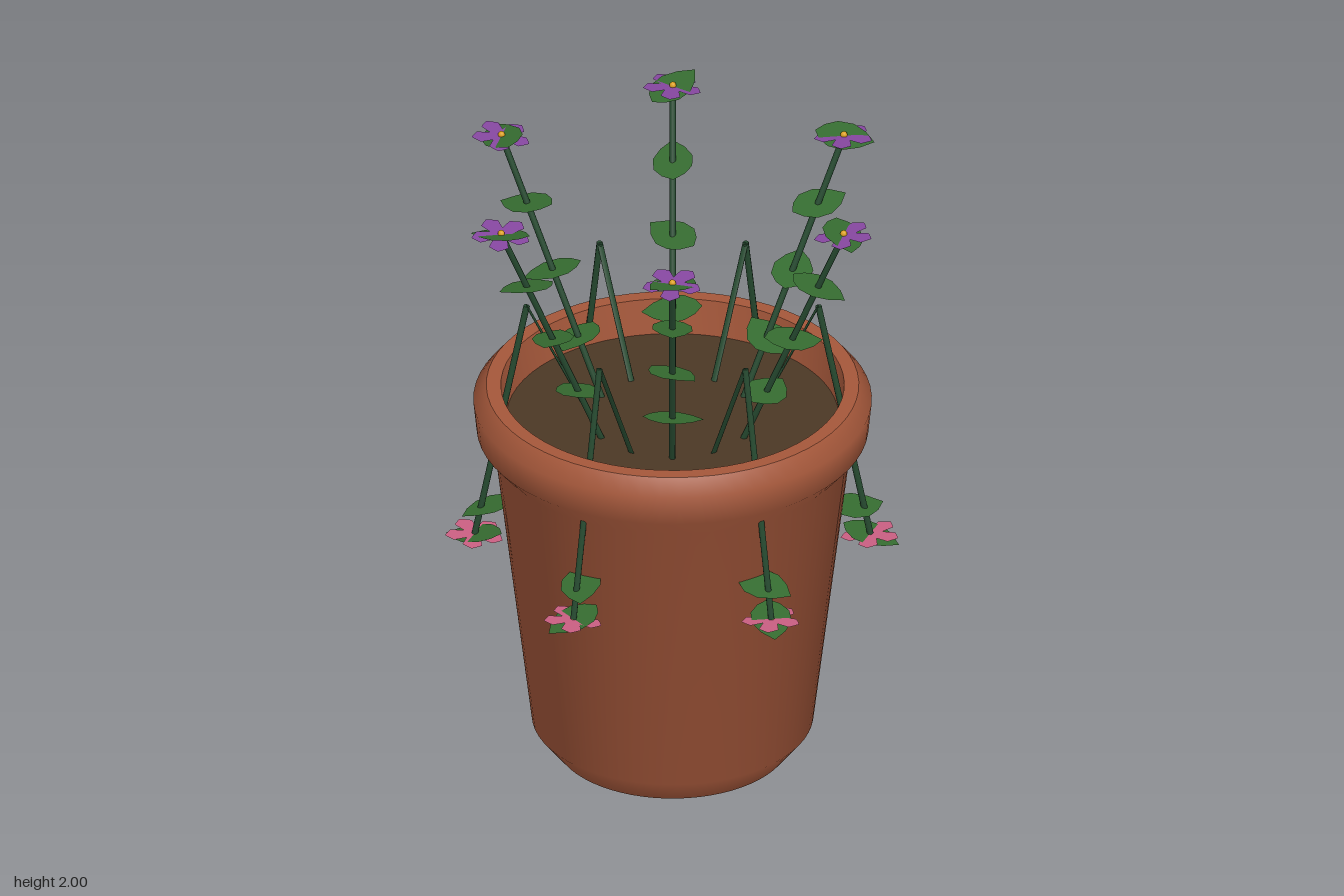
import * as THREE from 'three';
import { toCreasedNormals } from 'three/addons/utils/BufferGeometryUtils.js';

function material(name, color, side = THREE.FrontSide) {
  const m = new THREE.MeshStandardMaterial({ color, side });
  m.name = name;
  return m;
}

// Flat outline laid into the horizontal plane
function flat(points) {
  const shape = new THREE.Shape(points.map(([x, y]) => new THREE.Vector2(x, y)));
  return new THREE.ShapeGeometry(shape).rotateX(-Math.PI / 2);
}

export function createModel() {
  const root = new THREE.Group();
  root.name = 'flowerPot';
  const terracotta = material('terracotta', 0xa4573a);
  const soilBrown = material('soil brown', 0x4b3825);
  const stemGreen = material('stem green', 0x264a30);
  const leafGreen = material('leaf green', 0x356b30, THREE.DoubleSide);
  const purple = material('purple', 0x8647a0, THREE.DoubleSide);
  const pink = material('pink', 0xc95f82, THREE.DoubleSide);
  const yellow = material('yellow', 0xdca01e);

  function add(parent, name, geometry, mat) {
    const mesh = new THREE.Mesh(geometry, mat);
    mesh.name = name;
    parent.add(mesh);
    return mesh;
  }

  // Pot with chamfered foot and thick rim
  const profile = [[0, 0], [0.365, 0], [0.435, 0.09], [0.55, 1.05], [0.605, 1.115],
    [0.615, 1.215], [0.575, 1.265], [0.53, 1.265], [0.51, 1.13]]
    .map(([x, y]) => new THREE.Vector2(x, y));
  add(root, 'pot', toCreasedNormals(new THREE.LatheGeometry(profile, 64), 0.85), terracotta);

  const soil = add(root, 'soil', new THREE.CircleGeometry(0.515, 64).rotateX(-Math.PI / 2), soilBrown);
  soil.position.y = 1.15;

  // Shared leaf and five-petal outlines
  const half = [[-0.07, 0.035], [-0.035, 0.06], [0.015, 0.062], [0.06, 0.038]];
  const leafGeo = flat([[-0.092, 0], ...half, [0.098, 0],
    ...half.map(([x, y]) => [x, -y]).reverse()]);
  const petals = [];
  for (let i = 0; i < 5; i++) {
    for (const [r, a] of [[0.038, -0.63], [0.078, -0.4], [0.086, -0.16], [0.094, 0], [0.086, 0.16], [0.078, 0.4]]) {
      const t = Math.PI / 2 + i * Math.PI * 0.4 + a;
      petals.push([r * Math.cos(t), r * Math.sin(t)]);
    }
  }
  const flowerGeo = flat(petals);
  const centreGeo = new THREE.SphereGeometry(0.011, 10, 8);
  const UP = new THREE.Vector3(0, 1, 0);

  // Turn a flat part about y, then lean its top toward azimuth (measured x to z)
  function place(mesh, position, yaw, azimuth, lean) {
    const axis = new THREE.Vector3(Math.sin(azimuth), 0, -Math.cos(azimuth));
    mesh.position.copy(position);
    mesh.quaternion.setFromAxisAngle(axis, lean)
      .multiply(new THREE.Quaternion().setFromAxisAngle(UP, yaw));
  }

  // Straight stem between two points; flatness squashes it in the radial direction
  function stem(parent, a, b, angle, flatness = 1) {
    const dir = b.clone().sub(a);
    const geo = new THREE.CylinderGeometry(0.01, 0.01, dir.length(), 8);
    const mesh = add(parent, 'stem', geo, stemGreen);
    mesh.scale.x = flatness;
    mesh.position.copy(a).add(b).multiplyScalar(0.5);
    const y = dir.normalize();
    const z = new THREE.Vector3(-Math.sin(angle), 0, Math.cos(angle));
    const x = new THREE.Vector3().crossVectors(y, z);
    mesh.quaternion.setFromRotationMatrix(new THREE.Matrix4().makeBasis(x, y, z));
  }

  function flower(parent, position, mat, azimuth, lean, centreOffset) {
    place(add(parent, 'flower', flowerGeo, mat), position, 0, azimuth, lean);
    const centre = add(parent, 'flowerCentre', centreGeo, yellow);
    centre.position.copy(position);
    centre.position.y += centreOffset;
  }

  const polar = (r, y, angle) => new THREE.Vector3(r * Math.cos(angle), y, r * Math.sin(angle));

  // Upright purple flowers, each with four leaves
  const leans = [1.95, 0.79, -0.79, -1.2, -2.36, 2.7];
  leans.forEach((azimuth, i) => {
    const angle = i * Math.PI / 3;
    const plant = new THREE.Group();
    plant.name = 'uprightFlower';
    root.add(plant);
    const base = polar(0.25, 1.14, angle), tip = polar(0.61, 1.975, angle);
    stem(plant, base, tip, angle);
    for (let k = 0; k < 4; k++) {
      const p = base.clone().lerp(tip, 0.24 + k * 0.2533);
      place(add(plant, 'leaf', leafGeo, leafGreen), p, -angle + Math.PI / 2 - k * Math.PI / 4, azimuth, 0.22);
    }
    flower(plant, tip, purple, azimuth, -0.08, 0.004);
  });

  // Trailing pink flowers that bend over the rim
  for (let i = 0; i < 6; i++) {
    const angle = (i + 0.5) * Math.PI / 3;
    const plant = new THREE.Group();
    plant.name = 'trailingFlower';
    root.add(plant);
    const apex = polar(0.45, 1.545, angle), tip = polar(0.61, 0.735, angle);
    stem(plant, polar(0.25, 1.14, angle), apex, angle, 0.3);
    stem(plant, apex, tip, angle);
    const lean = angle + 0.4;
    place(add(plant, 'leaf', leafGeo, leafGreen), polar(0.565, 0.835, angle), -angle + 0.5, lean, 0.22);
    place(add(plant, 'leaf', leafGeo, leafGreen), tip, -angle - 0.4, lean, 0.2);
    flower(plant, tip, pink, lean, -0.05, -0.006);
  }
  return root;
}
